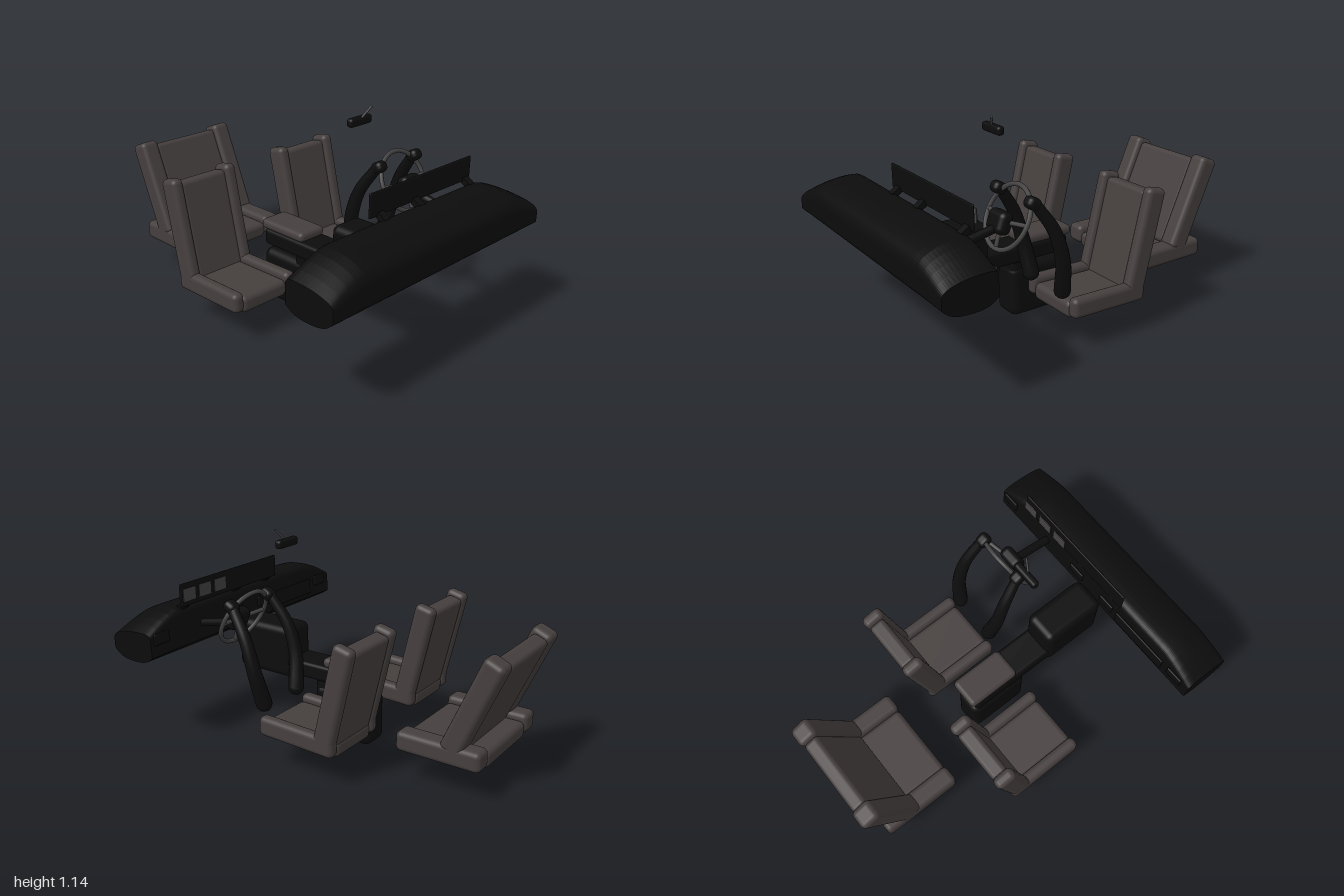
import * as THREE from 'three';
import { RoundedBoxGeometry } from 'three/addons/geometries/RoundedBoxGeometry.js';

const mat = (name, color) => {
  const m = new THREE.MeshStandardMaterial({ color });
  m.name = name;
  return m;
};

export function createModel() {
  const root = new THREE.Group();
  root.name = 'carInterior';
  const fabric = mat('seat fabric', 0x453f3e);
  const black = mat('black plastic', 0x0c0c0c);
  const grey = mat('grey trim', 0x444242);
  const V = (x, y, z) => new THREE.Vector3(x, y, z);

  const add = (parent, name, geometry, material, pos = [0, 0, 0], tilt = 0) => {
    const mesh = new THREE.Mesh(geometry, material);
    mesh.name = name;
    mesh.position.set(...pos);
    mesh.rotation.z = tilt;
    parent.add(mesh);
    return mesh;
  };
  // soft-edged block
  const pad = (parent, name, size, pos, material, r = 0.03, tilt = 0) =>
    add(parent, name, new RoundedBoxGeometry(...size, 4, r), material, pos, tilt);
  // straight round bar between two points
  const rod = (parent, name, a, b, r, material) => {
    const mesh = add(parent, name, new THREE.CylinderGeometry(r, r, a.distanceTo(b), 16), material);
    mesh.position.copy(a).lerp(b, 0.5);
    mesh.quaternion.setFromUnitVectors(V(0, 1, 0), b.clone().sub(a).normalize());
  };

  // seats: padded centre between two raised bolsters, for both cushion and backrest
  const seat = (name, z, width, bolster, cushion, back) => {
    const g = new THREE.Group();
    g.name = name;
    g.position.z = z;
    root.add(g);
    const inner = width - 2 * bolster + 0.02;
    pad(g, 'cushion', [cushion.len - 0.01, 0.09, inner], [cushion.x, cushion.y - 0.025, 0], fabric, 0.03, cushion.tilt);
    pad(g, 'backrest', [0.09, back.len - 0.03, inner], [back.x - 0.005, back.y - 0.01, 0], fabric, 0.025, back.tilt);
    for (const s of [-1, 1]) {
      const bz = s * (width - bolster) / 2;
      pad(g, 'cushionBolster', [cushion.len, 0.105, bolster], [cushion.x, cushion.y, bz], fabric, 0.028, cushion.tilt);
      pad(g, 'backBolster', [0.115, back.len, bolster], [back.x, back.y, bz], fabric, 0.028, back.tilt);
    }
  };
  const frontCushion = { x: -0.035, y: 0.235, len: 0.45, tilt: 0.03 };
  const frontBack = { x: -0.255, y: 0.475, len: 0.58, tilt: 0.235 };
  seat('driverSeat', -0.373, 0.41, 0.066, frontCushion, frontBack);
  seat('passengerSeat', 0.365, 0.41, 0.066, frontCushion, frontBack);
  seat('rearSeat', -0.005, 0.63, 0.108,
    { x: -0.678, y: 0.233, len: 0.455, tilt: 0 },
    { x: -0.845, y: 0.492, len: 0.54, tilt: 0.415 });

  // centre console
  pad(root, 'consoleBase', [0.36, 0.29, 0.165], [0.035, 0.15, 0], black, 0.045);
  pad(root, 'consoleBridge', [0.58, 0.09, 0.18], [0.16, 0.365, -0.005], black, 0.02);
  pad(root, 'consoleNeck', [0.12, 0.13, 0.15], [0.15, 0.31, 0], black, 0.03);
  pad(root, 'centreStack', [0.37, 0.29, 0.195], [0.545, 0.437, -0.005], black, 0.04);
  pad(root, 'armrest', [0.31, 0.055, 0.175], [-0.005, 0.43, -0.005], fabric, 0.025);

  // dashboard: side profile swept across the car, its top dropping towards the ends
  const profile = new THREE.Shape();
  profile.moveTo(0.725, 0.54);
  profile.lineTo(0.728, 0.715);
  profile.quadraticCurveTo(0.735, 0.75, 0.78, 0.75);
  profile.quadraticCurveTo(0.88, 0.752, 0.95, 0.715);
  profile.quadraticCurveTo(1.0, 0.69, 1.0, 0.64);
  profile.lineTo(1.0, 0.56);
  profile.quadraticCurveTo(0.99, 0.515, 0.92, 0.5);
  profile.quadraticCurveTo(0.82, 0.487, 0.765, 0.51);
  profile.closePath();
  const dash = new THREE.ExtrudeGeometry(profile, { depth: 1.5, steps: 30, bevelEnabled: false, curveSegments: 8 });
  dash.translate(0, 0, -0.75);
  const p = dash.attributes.position;
  for (let i = 0; i < p.count; i++) {
    const end = Math.max(0, (Math.abs(p.getZ(i)) - 0.53) / 0.22);
    const high = Math.max(0, (p.getY(i) - 0.53) / 0.22);
    p.setY(i, p.getY(i) - 0.09 * Math.pow(end, 1.4) * high);
  }
  dash.computeVertexNormals();
  add(root, 'dashboard', dash, black);

  // instrument display, its mounts and gauges
  pad(root, 'displayPanel', [0.012, 0.122, 0.76], [0.716, 0.817, -0.16], black, 0.005);
  for (const z of [-0.5, -0.1, 0.15])
    add(root, 'displayMount', new THREE.BoxGeometry(0.05, 0.03, 0.04), black, [0.738, 0.752, z], -0.6);
  for (const z of [-0.49, -0.375, -0.26])
    add(root, 'gauge', new THREE.BoxGeometry(0.005, 0.07, 0.09), grey, [0.697, 0.82, z]);
  for (const z of [-0.68, -0.12, 0.12, 0.65])
    pad(root, 'airVent', [0.014, 0.06, 0.1], [0.722, 0.63, z], black, 0.006);
  pad(root, 'gloveBox', [0.012, 0.09, 0.36], [0.722, 0.61, 0.38], black, 0.005);

  // steering wheel
  const wheel = new THREE.Group();
  wheel.name = 'steeringWheel';
  root.add(wheel);
  const rim = add(wheel, 'rim', new THREE.TorusGeometry(0.158, 0.012, 10, 48), grey, [0.435, 0.715, -0.373]);
  rim.quaternion.setFromUnitVectors(V(0, 0, 1), V(0.89, 0.45, 0).normalize());
  pad(wheel, 'hub', [0.075, 0.11, 0.13], [0.478, 0.7, -0.373], black, 0.03, 0.35);
  const hub = V(0.47, 0.7, -0.373);
  for (const s of [-1, 1]) rod(wheel, 'spoke', hub, V(0.435, 0.715, -0.373 + s * 0.155), 0.011, grey);
  rod(wheel, 'lowerSpoke', hub, V(0.5, 0.58, -0.373), 0.011, grey);
  rod(root, 'steeringColumn', V(0.48, 0.678, -0.373), V(0.76, 0.622, -0.373), 0.022, black);

  // pair of tapered sleeved arms reaching from the seat to the wheel
  for (const s of [-1, 1]) {
    const zc = -0.37;
    const arm = new THREE.Group();
    arm.name = s < 0 ? 'outerArm' : 'innerArm';
    root.add(arm);
    const curve = new THREE.CatmullRomCurve3([
      V(0.21, 0.33, zc + s * 0.13), V(0.235, 0.5, zc + s * 0.165),
      V(0.285, 0.66, zc + s * 0.165), V(0.375, 0.8, zc + s * 0.145)]);
    const rings = 24, sides = 14;
    const tube = new THREE.TubeGeometry(curve, rings, 0.042, sides, false);
    const tp = tube.attributes.position, v = V(0, 0, 0);
    for (let i = 0; i < tp.count; i++) {
      const t = Math.floor(i / (sides + 1)) / rings;
      const c = curve.getPointAt(t);
      v.fromBufferAttribute(tp, i).sub(c).multiplyScalar(1 - 0.35 * t).add(c);
      tp.setXYZ(i, v.x, v.y, v.z);
    }
    tube.computeVertexNormals();
    add(arm, 'sleeve', tube, black);
    add(arm, 'sleeveEnd', new THREE.SphereGeometry(0.042, 14, 10), black, curve.getPointAt(0).toArray());
    pad(arm, 'hand', [0.075, 0.06, 0.07], [0.39, 0.81, zc + s * 0.14], black, 0.026, 0.5);
  }

  // rear-view mirror
  pad(root, 'mirror', [0.04, 0.046, 0.156], [0.345, 1.067, -0.12], black, 0.016);
  rod(root, 'mirrorStem', V(0.355, 1.08, -0.12), V(0.38, 1.138, -0.168), 0.006, grey);

  return root;
}
